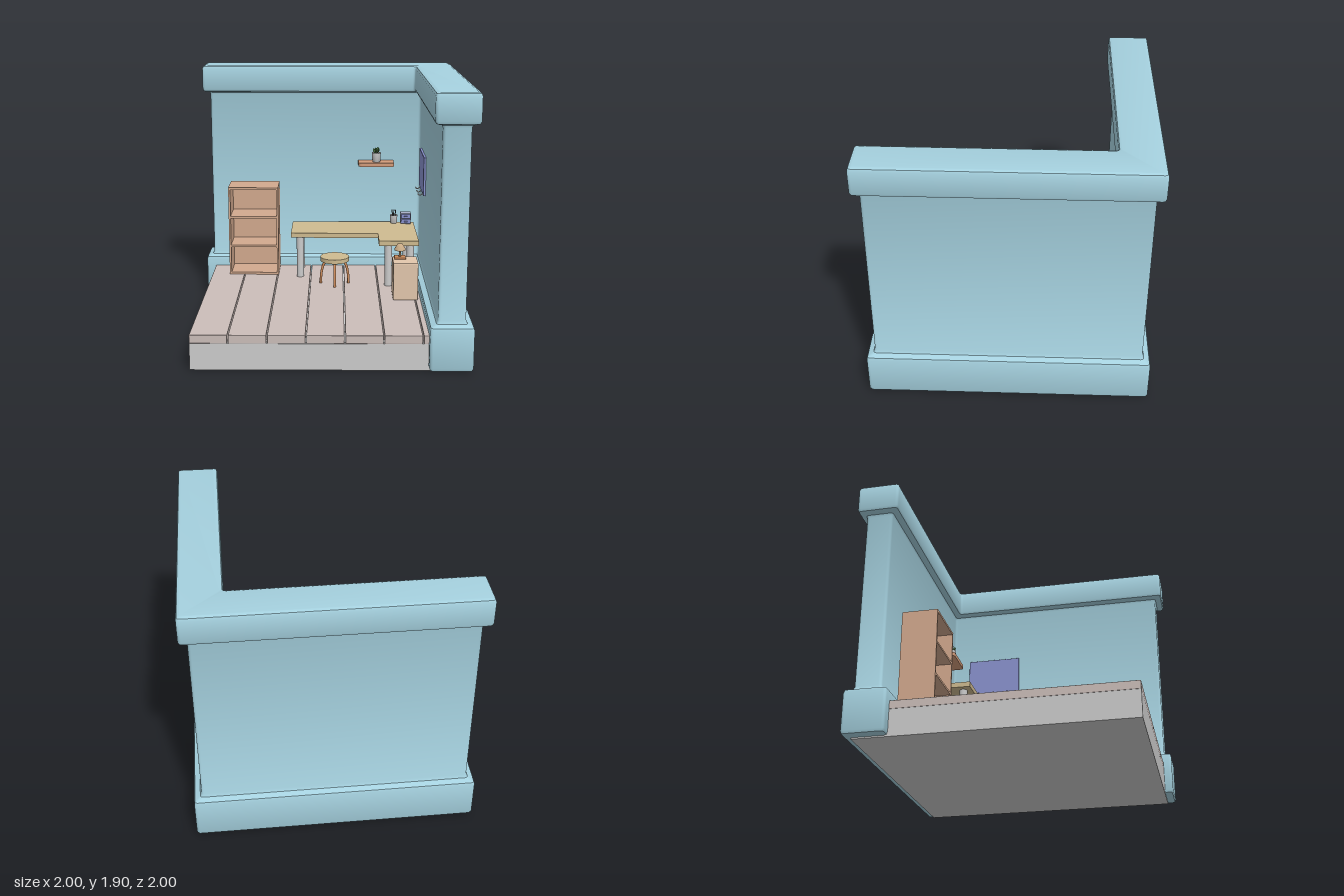
import * as THREE from 'three';
import { toCreasedNormals } from 'three/addons/utils/BufferGeometryUtils.js';
import { RoundedBoxGeometry } from 'three/addons/geometries/RoundedBoxGeometry.js';

const WALL = 0xa6d2e0, PLANK = 0xcbbdb9, WOOD = 0xd2a98e, DESK = 0xcfbb90, ORANGE = 0xcf8d5c, GREY = 0xcccccc;
const PURPLE = 0x8a92cf, DARK = 0x444444, GREEN = 0x4f7a45;

function add(parent, name, geometry, color, x = 0, y = 0, z = 0) {
  const mesh = new THREE.Mesh(geometry, new THREE.MeshStandardMaterial({ color }));
  mesh.name = name;
  mesh.position.set(x, y, z);
  parent.add(mesh);
  return mesh;
}

// Box given by its extents; r > 0 rounds the edges
function box(parent, name, [x0, x1], [y0, y1], [z0, z1], color, r = 0) {
  const s = [x1 - x0, y1 - y0, z1 - z0];
  const g = r ? new RoundedBoxGeometry(...s, 2, r) : new THREE.BoxGeometry(...s);
  return add(parent, name, g, color, (x0 + x1) / 2, (y0 + y1) / 2, (z0 + z1) / 2);
}

function cylinder(parent, name, rTop, rBottom, y0, y1, x, z, color, sides = 24) {
  return add(parent, name, new THREE.CylinderGeometry(rTop, rBottom, y1 - y0, sides), color, x, (y0 + y1) / 2, z);
}

function group(parent, name) {
  const g = new THREE.Group();
  g.name = name;
  parent.add(g);
  return g;
}

// L-shaped plan inset by d, with softened corners
function planLoop(d) {
  const corners = [[-1, -1, 1, 1], [-1, -0.7, 1, -1], [0.7, -0.7, 1, -1], [0.7, 1, 1, -1], [1, 1, -1, -1], [1, -1, -1, 1]]
    .map(([x, z, sx, sz]) => new THREE.Vector2(x + sx * d, z + sz * d));
  const loop = [];
  corners.forEach((p, i) => {
    const toward = (q) => p.clone().add(q.clone().sub(p).setLength(0.022));
    const a = toward(corners[(i + 5) % 6]), b = toward(corners[(i + 1) % 6]);
    loop.push(...new THREE.QuadraticBezierCurve(a, p, b).getPoints(4));
  });
  return loop;
}

// Walls: the plan lofted through a profile of [inset, height]
function wallGeometry() {
  const profile = [[0.025, 0.01], [0.007, 0.016], [0, 0.035], [0, 0.3], [0.006, 0.32], [0.025, 0.328], [0.045, 0.336],
    [0.055, 0.36], [0.055, 1.665], [0.049, 1.683], [0.025, 1.689], [0.007, 1.697], [0, 1.715], [0, 1.875], [0.007, 1.893], [0.025, 1.9]];
  const pos = [], index = [];
  const loops = profile.map(([d]) => planLoop(d));
  const n = loops[0].length, last = (profile.length - 1) * n;
  loops.forEach((loop, j) => loop.forEach((p) => pos.push(p.x, profile[j][1], p.y)));
  for (let j = 0; j < profile.length - 1; j++) {
    for (let i = 0; i < n; i++) {
      const a = j * n + i, b = j * n + (i + 1) % n;
      index.push(a, b, b + n, a, b + n, a + n);
    }
  }
  const flat = loops[0].map((p) => new THREE.Vector2(p.x, -p.y));
  for (const [a, b, c] of THREE.ShapeUtils.triangulateShape(flat, [])) {
    index.push(last + a, last + b, last + c, c, b, a);
  }
  const g = new THREE.BufferGeometry();
  g.setAttribute('position', new THREE.Float32BufferAttribute(pos, 3));
  g.setIndex(index);
  return toCreasedNormals(g, 0.7);
}

// Flat slab extruded upward from [x, z] corners
function slab(points, depth) {
  const shape = new THREE.Shape(points.map(([x, z]) => new THREE.Vector2(x, -z)));
  return new THREE.ExtrudeGeometry(shape, { depth, bevelEnabled: false }).rotateX(-Math.PI / 2);
}

function addPot(parent, name, r, y0, y1, x, z) {
  const h = y1 - y0;
  const profile = [[0, 0], [r * 0.8, 0], [r * 0.9, h * 0.08], [r, h], [r * 0.85, h], [r * 0.8, h * 0.8], [0, h * 0.8]]
    .map(([a, b]) => new THREE.Vector2(a, b));
  add(parent, name, toCreasedNormals(new THREE.LatheGeometry(profile, 20), 0.6), 0xdadada, x, y0, z);
}

export function createModel() {
  const room = new THREE.Group();
  room.name = 'cornerRoom';

  // Shell and floor
  add(room, 'walls', wallGeometry(), WALL);
  box(room, 'floorBase', [-0.925, 0.96], [0, 0.19], [-0.95, 0.94], GREY);
  const floor = group(room, 'floorPlanks');
  for (let i = 0; i < 7; i++) {
    const x = -0.925 + i * 0.265;
    box(floor, 'plank', [x, x + 0.258], [0.19, 0.25], [-0.95, 0.94], PLANK, 0.004);
  }

  // Open bookcase with three compartments
  const bookcase = group(room, 'bookcase');
  const depth = [-0.695, -0.44];
  for (const x of [-0.785, -0.405]) box(bookcase, 'sidePanel', [x, x + 0.015], [0.25, 0.965], depth, WOOD);
  for (const y of [0.25, 0.478, 0.715, 0.948]) box(bookcase, 'shelfBoard', [-0.77, -0.405], [y, y + 0.017], depth, WOOD);
  box(bookcase, 'backPanel', [-0.77, -0.405], [0.25, 0.96], [-0.695, -0.68], WOOD);

  // L-shaped desk
  const desk = group(room, 'desk');
  const outline = [[-0.285, -0.705], [-0.285, -0.335], [0.4, -0.335], [0.4, -0.105], [0.705, -0.105], [0.705, -0.705]];
  add(desk, 'deskTop', slab(outline, 0.037), DESK, 0, 0.585, 0);
  for (const [x, z] of [[-0.215, -0.4], [-0.215, -0.64], [0.475, -0.17], [0.645, -0.17], [0.645, -0.64]]) {
    cylinder(desk, 'deskLeg', 0.028, 0.028, 0.25, 0.585, x, z, GREY);
  }

  // Stool with four bowed legs
  const stool = group(room, 'stool');
  stool.position.set(0.06, 0, -0.22);
  cylinder(stool, 'stoolSeat', 0.112, 0.112, 0.435, 0.468, 0, 0, DESK, 40);
  const bow = new THREE.CatmullRomCurve3([[0.06, 0.437], [0.083, 0.41], [0.099, 0.36], [0.107, 0.3], [0.108, 0.25]]
    .map(([x, y]) => new THREE.Vector3(x, y, 0)));
  for (let i = 0; i < 4; i++) {
    add(stool, 'stoolLeg', new THREE.TubeGeometry(bow, 16, 0.01, 10), ORANGE).rotation.y = i * Math.PI / 2;
  }

  // Side cabinet with a small lamp
  box(room, 'sideCabinet', [0.495, 0.68], [0.25, 0.535], [0, 0.2], 0xe3c7ac, 0.008);
  const lamp = group(room, 'lamp');
  box(lamp, 'lampBase', [0.507, 0.593], [0.535, 0.55], [0.017, 0.103], ORANGE, 0.005);
  cylinder(lamp, 'lampStem', 0.006, 0.009, 0.55, 0.62, 0.55, 0.06, 0x9a7a55, 12);
  const shade = [[0.042, 0], [0.04, 0.012], [0.028, 0.032], [0.02, 0.046], [0, 0.05]].map(([x, y]) => new THREE.Vector2(x, y));
  add(lamp, 'lampShade', new THREE.LatheGeometry(shade, 24), 0xc9ab86, 0.55, 0.6, 0.06).material.side = THREE.DoubleSide;

  // Pen cup and drawer box on the desk
  const cup = group(room, 'penCup');
  addPot(cup, 'cup', 0.03, 0.622, 0.69, 0.542, -0.67);
  for (const s of [-1, 0, 1]) {
    const pen = cylinder(cup, 'pen', 0.004, 0.004, 0.64, 0.735, 0.542 + s * 0.009, -0.67 + s * s * 0.008, DARK, 8);
    pen.rotation.z = -s * 0.15;
  }
  const drawers = group(room, 'drawerBox');
  box(drawers, 'drawerCase', [0.597, 0.68], [0.622, 0.71], [-0.705, -0.64], 0xa9aec8);
  for (const y of [0.626, 0.669]) {
    box(drawers, 'drawerFront', [0.6, 0.677], [y, y + 0.038], [-0.64, -0.625], PURPLE, 0.004);
    box(drawers, 'drawerHandle', [0.625, 0.652], [y + 0.015, y + 0.023], [-0.625, -0.612], PURPLE);
  }

  // Wall shelf with rounded front corners and a potted plant
  const shelf = new THREE.Shape();
  shelf.moveTo(0.25, 0.76).lineTo(0.25, 0.645).quadraticCurveTo(0.25, 0.615, 0.28, 0.615);
  shelf.lineTo(0.505, 0.615).quadraticCurveTo(0.535, 0.615, 0.535, 0.645).lineTo(0.535, 0.76);
  const shelfGeo = new THREE.ExtrudeGeometry(shelf, { depth: 0.03, bevelEnabled: false }).rotateX(-Math.PI / 2);
  add(room, 'wallShelf', toCreasedNormals(shelfGeo, 0.6), 0xd39c7b, 0, 1.1, 0);
  const plant = group(room, 'plant');
  addPot(plant, 'plantPot', 0.036, 1.13, 1.205, 0.395, -0.68);
  cylinder(plant, 'soil', 0.03, 0.03, 1.18, 1.195, 0.395, -0.68, 0x5a4638, 16);
  for (let i = 0; i < 8; i++) {
    const a = i * 2.4, r = i < 2 ? 0.006 : 0.018;
    const leaf = add(plant, 'leaf', new THREE.SphereGeometry(0.011, 10, 8), GREEN,
      0.395 + r * Math.cos(a), 1.235 - r * 0.9, -0.68 + r * Math.sin(a));
    leaf.scale.set(0.8, 2, 0.6);
    leaf.rotation.set(0.5 * Math.sin(a), -a, -0.4);
  }

  // Board on the side wall with hooks below
  const board = group(room, 'wallBoard');
  box(board, 'boardPanel', [0.738, 0.757], [0.955, 1.255], [-0.62, -0.2], PURPLE, 0.004);
  const hook = new THREE.CatmullRomCurve3([[0.745, 0.965], [0.73, 0.945], [0.712, 0.942], [0.704, 0.957]]
    .map(([x, y]) => new THREE.Vector3(x, y, 0)));
  for (const z of [-0.53, -0.41, -0.29]) {
    add(board, 'hook', new THREE.TubeGeometry(hook, 10, 0.004, 8), GREY, 0, 0, z);
  }
  return room;
}
